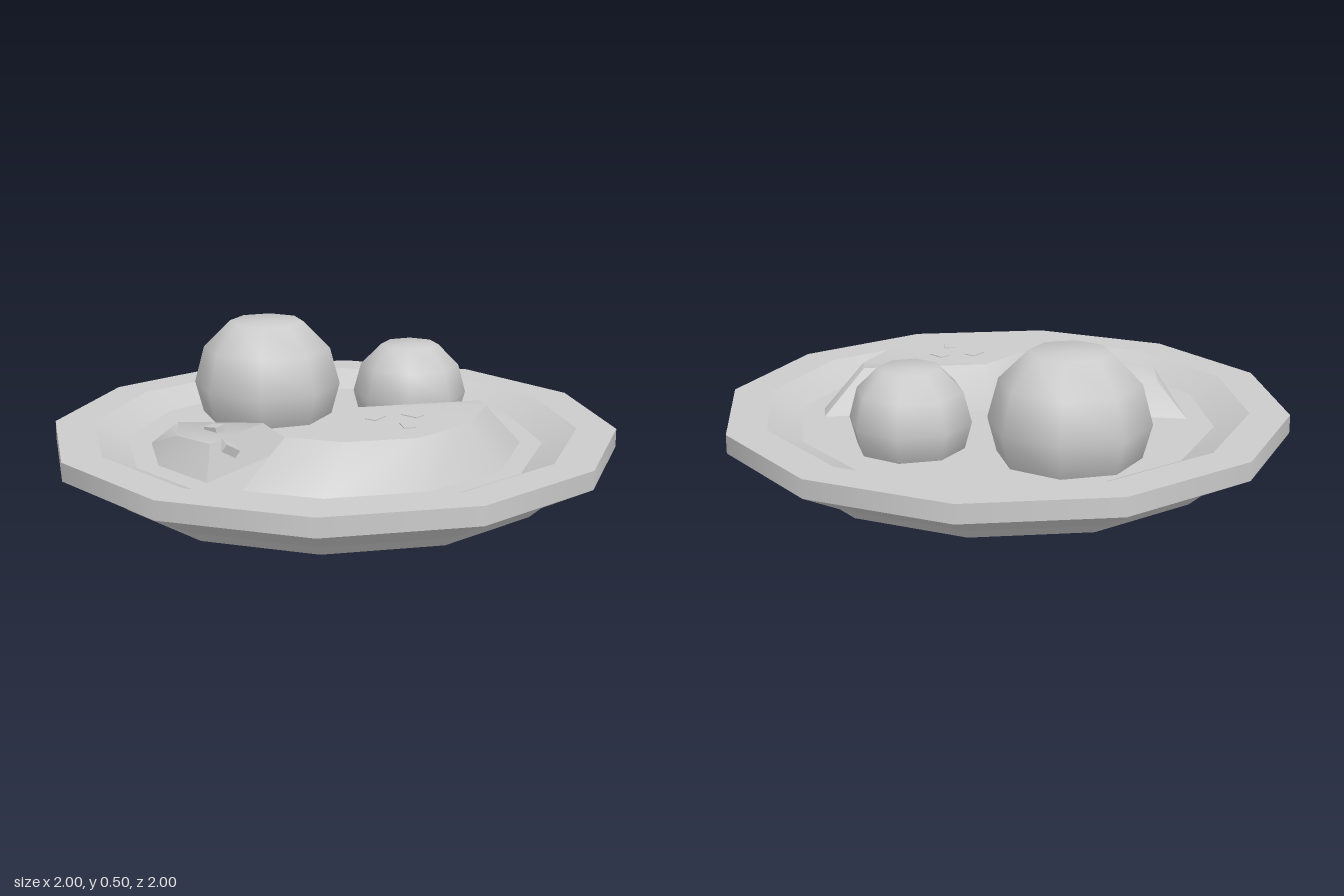
import * as THREE from 'three';
import { mergeGeometries, toCreasedNormals } from 'three/addons/utils/BufferGeometryUtils.js';

const FLOOR = 0.145;
const material = new THREE.MeshStandardMaterial({ color: 0xcccccc });

function addMesh(group, name, geometry) {
  const mesh = new THREE.Mesh(geometry, material);
  mesh.name = name;
  group.add(mesh);
  return mesh;
}

// Twelve-sided plate: each band is smooth around, with hard edges between bands
function plateGeometry() {
  const profile = [[0, 0], [0.775, 0], [0.82, 0.04], [1, 0.135], [1, 0.2], [0.86, 0.2], [0.74, FLOOR], [0, FLOOR]]
    .map(([r, y]) => new THREE.Vector2(r, y));
  const bands = [];
  for (let i = 0; i < profile.length - 1; i++) {
    bands.push(new THREE.LatheGeometry([profile[i], profile[i + 1]], 12));
  }
  return mergeGeometries(bands);
}

// Eight-sided ball with a flat top and bottom
function scoopGeometry(radius) {
  const points = [new THREE.Vector2(0, -radius * Math.cos(Math.PI / 6))];
  for (let i = 1; i <= 5; i++) {
    const a = (i * Math.PI) / 6;
    points.push(new THREE.Vector2(radius * Math.sin(a), -radius * Math.cos(a)));
  }
  points.push(new THREE.Vector2(0, radius * Math.cos(Math.PI / 6)));
  return new THREE.LatheGeometry(points, 8);
}

// Bevelled slab between a wide lower outline and a smaller upper one, both [x, z]
function slabGeometry(lower, upper, top, crease) {
  const a = lower.map(([x, z]) => [x, FLOOR - 0.003, z]);
  const b = upper.map(([x, z]) => [x, top, z]);
  const n = a.length;
  const corners = [];
  for (let i = 0; i < n; i++) {
    const j = (i + 1) % n;
    corners.push(a[j], a[i], b[i], a[j], b[i], b[j]);
    if (i > 0 && i < n - 1) corners.push(b[0], b[j], b[i], a[0], a[i], a[j]);
  }
  const geometry = new THREE.BufferGeometry();
  geometry.setAttribute('position', new THREE.Float32BufferAttribute(corners.flat(), 3));
  return toCreasedNormals(geometry, crease);
}

export function createModel() {
  const model = new THREE.Group();
  model.name = 'plateOfFood';

  addMesh(model, 'plate', plateGeometry());

  // Two round scoops at the back
  addMesh(model, 'largeScoop', scoopGeometry(0.275)).position.set(-0.27, 0.262, -0.363);
  addMesh(model, 'smallScoop', scoopGeometry(0.21)).position.set(0.268, 0.238, -0.355);

  // Large slice at the front
  addMesh(model, 'largeSlice', slabGeometry(
    [[0.045, 0.06], [0.64, -0.1], [0.665, -0.005], [0.58, 0.34], [0.335, 0.575], [0, 0.665], [-0.265, 0.595]],
    [[0.09, 0.125], [0.515, 0.01], [0.535, 0.08], [0.47, 0.315], [0.3, 0.495], [0.06, 0.555], [-0.13, 0.505]],
    0.3, 0.85));

  // Small wedge beside it
  addMesh(model, 'smallWedge', slabGeometry(
    [[-0.645, 0.07], [-0.125, 0.07], [-0.385, 0.525], [-0.575, 0.34]],
    [[-0.53, 0.165], [-0.235, 0.165], [-0.385, 0.43], [-0.51, 0.335]],
    0.25, 0.85));

  // Flat crumbs on the large slice: x, z, turn
  [[0.155, 0.26, 1.05], [0.28, 0.22, -0.65], [0.265, 0.35, -1.33]].forEach(([x, z, turn]) => {
    const crumb = addMesh(model, 'sliceCrumb', new THREE.BoxGeometry(0.066, 0.01, 0.042));
    crumb.position.set(x, 0.298, z);
    crumb.rotation.y = turn;
  });

  // Tilted crumbs on the wedge: position, rotation
  [
    [[-0.36, 0.205, 0.118], [-0.85, 0.1, 0.1]],
    [[-0.39, 0.25, 0.26], [0.1, -0.7, 0.2]],
    [[-0.33, 0.22, 0.375], [0.3, 0.5, -0.7]],
  ].forEach(([position, rotation]) => {
    const crumb = addMesh(model, 'wedgeCrumb', new THREE.BoxGeometry(0.06, 0.03, 0.042));
    crumb.position.set(...position);
    crumb.rotation.set(...rotation);
  });

  return model;
}
